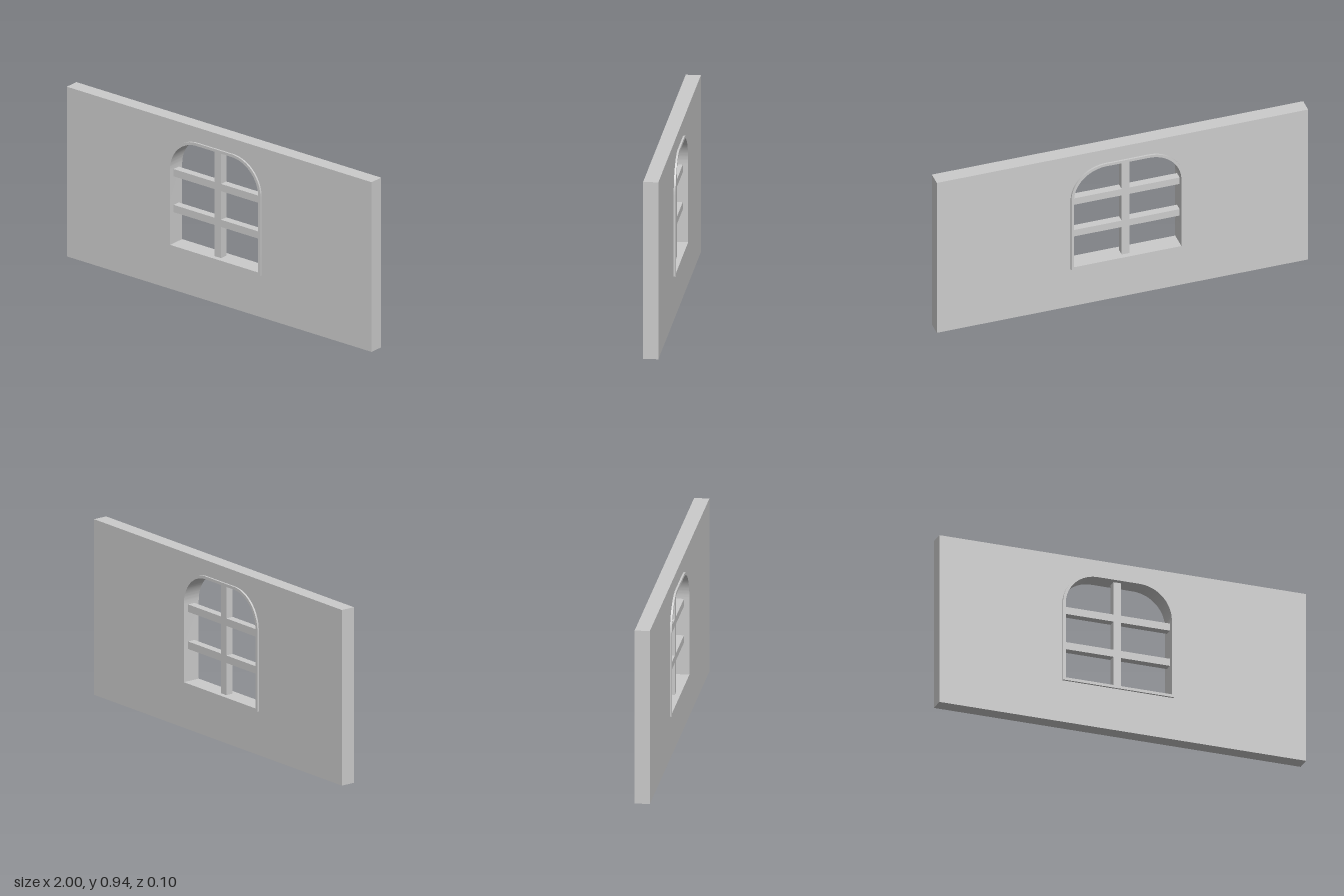
import * as THREE from 'three';
import { toCreasedNormals } from 'three/addons/utils/BufferGeometryUtils.js';

const material = new THREE.MeshStandardMaterial({ color: 0xcccccc });

// Window opening: centre line, half width, sill, head and corner radius
const CX = -0.025, HALF = 0.304, SILL = 0.233, HEAD = 0.855, RADIUS = 0.19;
const LIP = 0.015;

// Opening outline with rounded upper corners, shrunk by an inset
function opening(Type, inset) {
  const l = CX - HALF + inset, r = CX + HALF - inset;
  const b = SILL + inset, t = HEAD - inset, rad = RADIUS - inset;
  const p = new Type();
  p.moveTo(l, b);
  p.lineTo(r, b);
  p.lineTo(r, t - rad);
  p.absarc(r - rad, t - rad, rad, 0, Math.PI / 2, false);
  p.lineTo(l + rad, t);
  p.absarc(l + rad, t - rad, rad, Math.PI / 2, Math.PI, false);
  p.lineTo(l, b);
  return p;
}

// Flat slab extruded symmetrically about z = 0
function slab(name, shape, depth) {
  const geo = new THREE.ExtrudeGeometry(shape, { depth, bevelEnabled: false, curveSegments: 20 });
  geo.translate(0, 0, -depth / 2);
  const mesh = new THREE.Mesh(toCreasedNormals(geo, 0.5), material);
  mesh.name = name;
  return mesh;
}

function bar(name, w, h, x, y) {
  const mesh = new THREE.Mesh(new THREE.BoxGeometry(w, h, 0.042), material);
  mesh.name = name;
  mesh.position.set(x, y, 0);
  return mesh;
}

export function createModel() {
  const group = new THREE.Group();
  group.name = 'wallWithArchedWindow';

  // Wall panel with the window cut through it
  const wallShape = new THREE.Shape();
  wallShape.moveTo(-1, 0).lineTo(1, 0).lineTo(1, 0.938).lineTo(-1, 0.938).closePath();
  wallShape.holes.push(opening(THREE.Path, 0));
  group.add(slab('wall', wallShape, 0.078));

  // Thin frame lining the opening, slightly proud on both faces
  const frameShape = opening(THREE.Shape, 0);
  frameShape.holes.push(opening(THREE.Path, LIP));
  group.add(slab('windowFrame', frameShape, 0.098));

  // Glazing bars
  const glazing = new THREE.Group();
  glazing.name = 'glazingBars';
  const barH = HEAD - SILL - LIP;
  glazing.add(bar('verticalBar', 0.042, barH, CX + 0.002, (HEAD + SILL) / 2));
  [0.44, 0.638].forEach((y, i) =>
    glazing.add(bar(i ? 'upperBar' : 'lowerBar', 2 * HALF - LIP, 0.04, CX, y)));
  group.add(glazing);

  return group;
}
